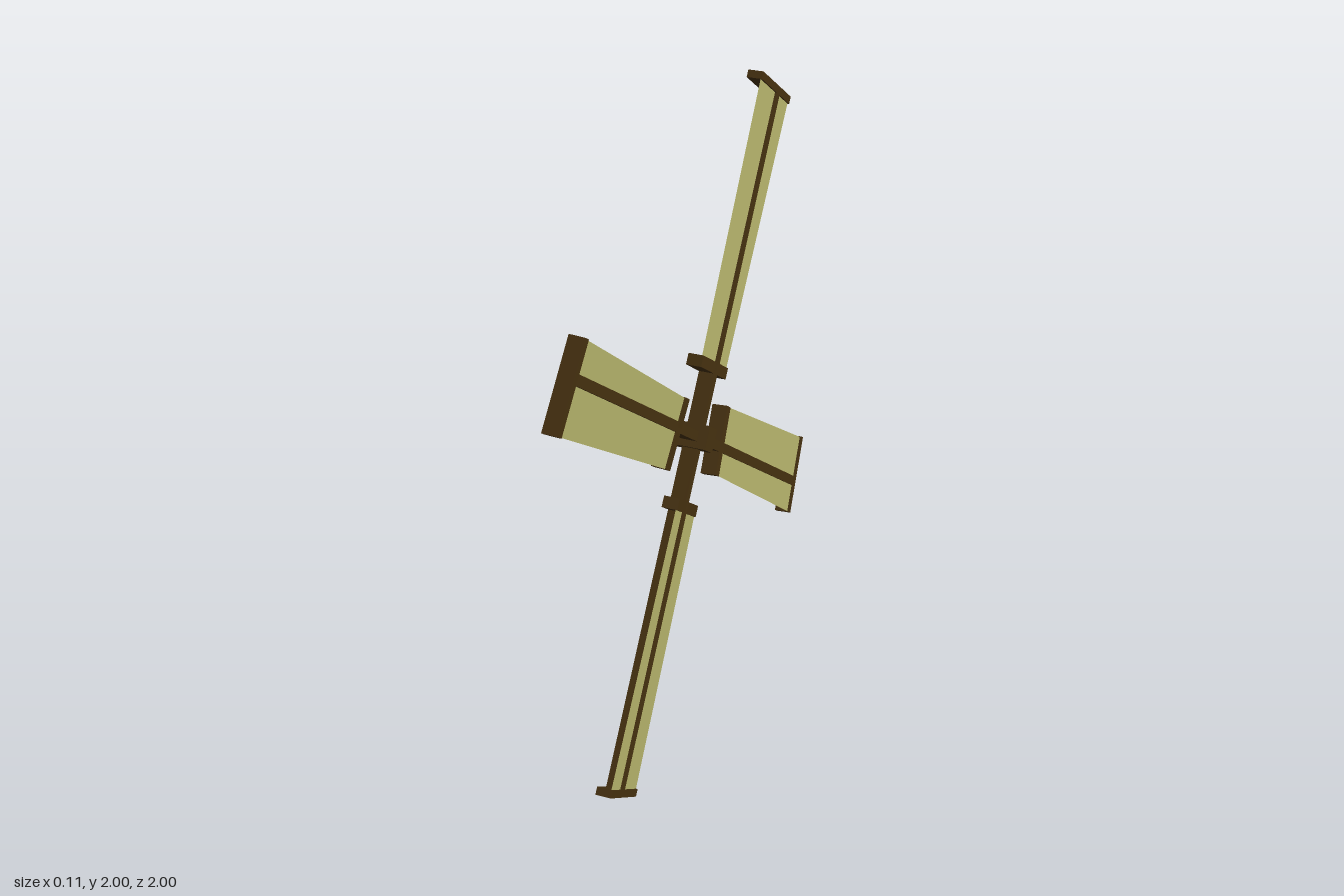
import * as THREE from 'three';

const wood = new THREE.MeshStandardMaterial({ color: 0x45300f });
const cloth = new THREE.MeshStandardMaterial({ color: 0xb5b36b, side: THREE.DoubleSide });

const DEPTH = 0.05;            // timber depth along the axle
const INNER = 0.218, OUTER = 1.107; // radii of the two cross bars

function box(name, w, h, d, x, y, z) {
  const mesh = new THREE.Mesh(new THREE.BoxGeometry(w, h, d), wood);
  mesh.name = name;
  mesh.position.set(x, y, z);
  return mesh;
}

// One blade pointing up +y; its wide side lies towards +z
function makeBlade() {
  const blade = new THREE.Group();
  blade.name = 'blade';
  blade.add(box('spar', DEPTH, 1.1, 0.032, 0, 0.55, 0));

  // Cross bars and cloth are pitched slightly about the spar
  const frame = new THREE.Group();
  frame.name = 'sailFrame';
  frame.rotation.y = -0.05;
  frame.add(box('innerBar', DEPTH, 0.036, 0.222, 0, INNER, 0.019));
  frame.add(box('outerBar', DEPTH, 0.024, 0.27, 0, OUTER, 0.023));

  // Tapered cloth close to the +x face of the spar
  const outline = new THREE.Shape([
    new THREE.Vector2(-0.129, INNER),
    new THREE.Vector2(0.09, INNER),
    new THREE.Vector2(0.11, OUTER),
    new THREE.Vector2(-0.156, OUTER),
  ]);
  const sail = new THREE.Mesh(new THREE.ShapeGeometry(outline).rotateY(Math.PI / 2), cloth);
  sail.name = 'sail';
  sail.position.x = 0.02;
  frame.add(sail);
  blade.add(frame);
  return blade;
}

export function createModel() {
  const model = new THREE.Group();
  model.name = 'windmillSails';

  const rotor = new THREE.Group();
  rotor.name = 'rotor';
  rotor.position.y = 1;
  rotor.rotation.x = -Math.PI / 5;
  rotor.add(box('hub', 0.112, 0.075, 0.075, 0, 0, 0));

  // Four blades at right angles
  for (let i = 0; i < 4; i++) {
    const blade = makeBlade();
    blade.rotation.x = (i * Math.PI) / 2;
    rotor.add(blade);
  }
  model.add(rotor);
  return model;
}
